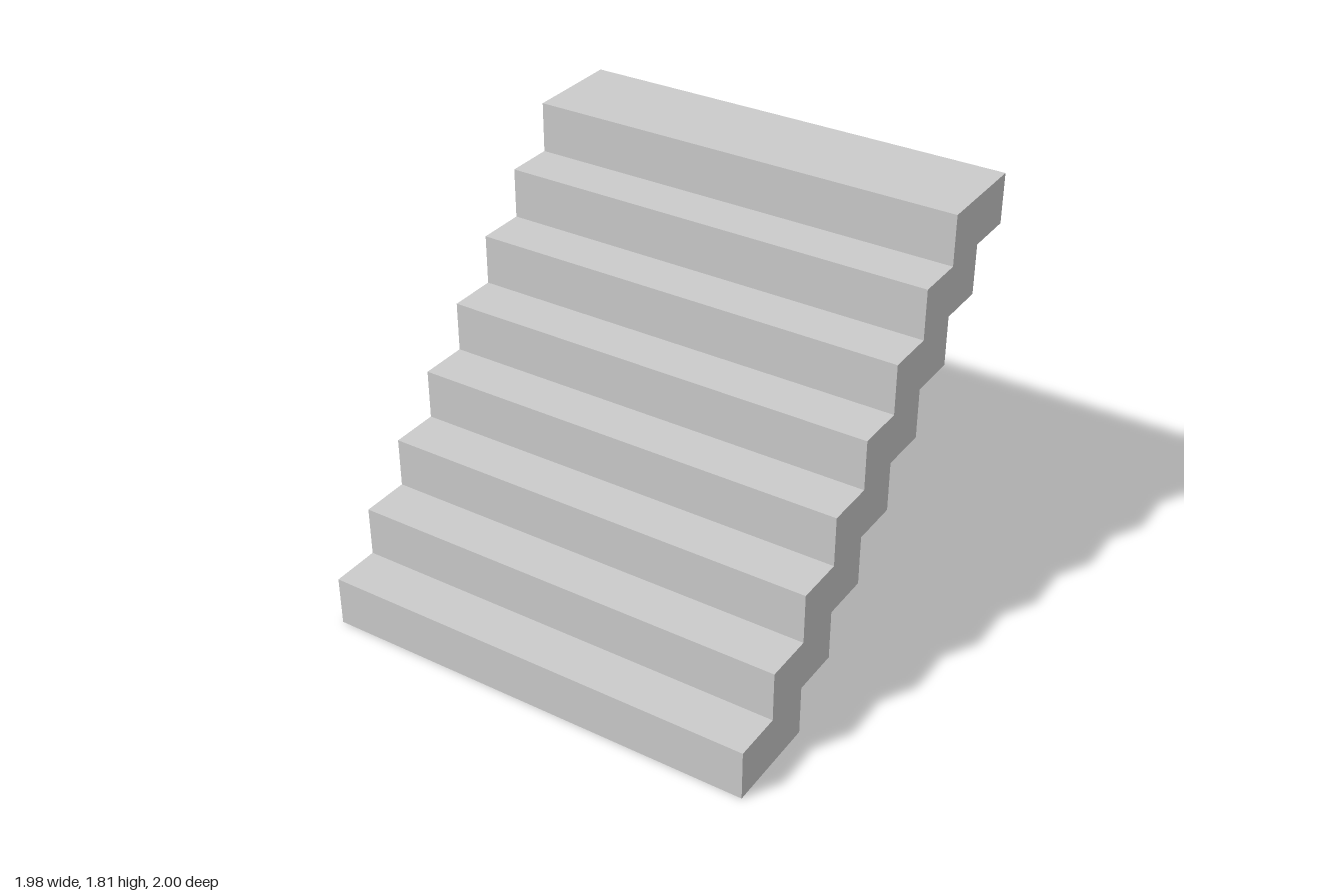
import * as THREE from 'three';

const STEPS = 8;
const WIDTH = 1.975;
const RISE = 1.81 / STEPS;
const RUN = 2 / (STEPS + 1); // each step is two runs deep, overlapping the next by one

export function createModel() {
  const group = new THREE.Group();
  group.name = 'staircase';

  // Side profile drawn as (z, y): up the treads, then back down the stepped underside
  const profile = [];
  for (let i = 0; i < STEPS; i++) {
    const z = 1 - i * RUN;
    profile.push(new THREE.Vector2(z, i * RISE), new THREE.Vector2(z, (i + 1) * RISE));
  }
  for (let i = STEPS - 1; i >= 0; i--) {
    const z = 1 - (i + 2) * RUN;
    profile.push(new THREE.Vector2(z, (i + 1) * RISE), new THREE.Vector2(z, i * RISE));
  }

  // Extrude across the width and turn the profile to face +z
  const geometry = new THREE.ExtrudeGeometry(new THREE.Shape(profile), { depth: WIDTH, bevelEnabled: false });
  geometry.translate(0, 0, -WIDTH / 2);
  geometry.rotateY(-Math.PI / 2);

  const steps = new THREE.Mesh(geometry, new THREE.MeshStandardMaterial({ color: 0xcccccc, flatShading: true }));
  steps.name = 'steps';
  group.add(steps);
  return group;
}
